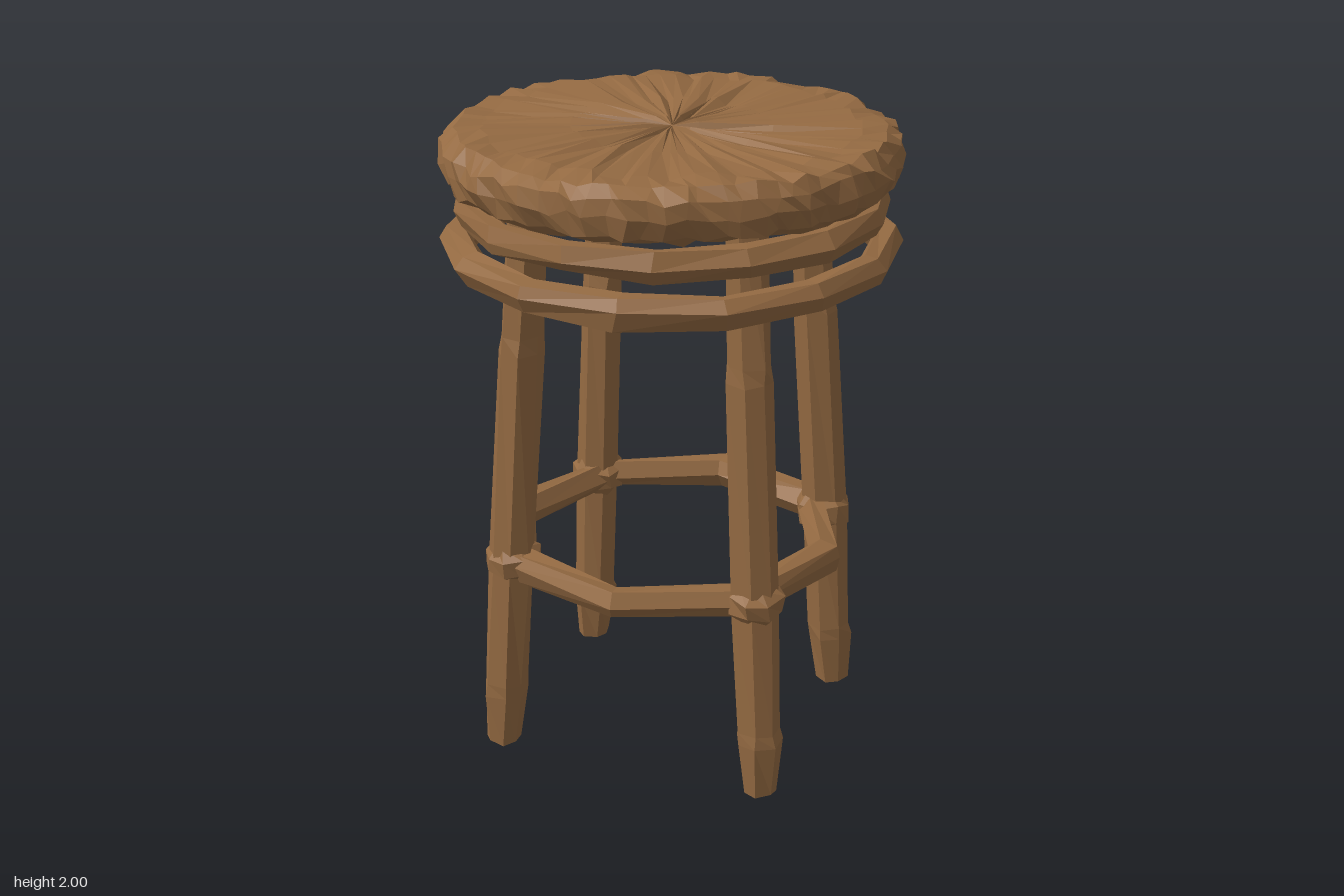
import * as THREE from 'three';

const wood = new THREE.MeshStandardMaterial({ color: 0x946a42, flatShading: true });
wood.name = 'brown wood';

// Repeatable noise in -1..1 from a position, so coincident corners stay joined
function noise(x, y, z, seed) {
  const q = (v) => Math.round(v * 500);
  const s = Math.sin(q(x) * 12.9898 + q(y) * 78.233 + q(z) * 37.719 + seed * 4.137) * 43758.5453;
  return (s - Math.floor(s)) * 2 - 1;
}

// Moves every vertex by a rule taking and returning [x, y, z]
function reshape(geometry, rule) {
  const p = geometry.attributes.position;
  for (let i = 0; i < p.count; i++) p.setXYZ(i, ...rule(p.getX(i), p.getY(i), p.getZ(i)));
  geometry.computeVertexNormals();
  return geometry;
}

const roughen = (geometry, amount, seed) => reshape(geometry, (x, y, z) => [
  x + amount * noise(x, y, z, seed),
  y + amount * noise(x, y, z, seed + 1),
  z + amount * noise(x, y, z, seed + 2),
]);

function addMesh(parent, name, geometry) {
  const mesh = new THREE.Mesh(geometry, wood);
  mesh.name = name;
  parent.add(mesh);
  return mesh;
}

const lathe = (profile, sides) =>
  new THREE.LatheGeometry(profile.map(([r, y]) => new THREE.Vector2(r, y)), sides);

// Round cushion of split wood: radial ridges on top and a knobbly rim
function seatGeometry() {
  const geometry = lathe([
    [0, 1.835], [0.5, 1.835], [0.62, 1.818], [0.668, 1.845], [0.685, 1.9],
    [0.678, 1.95], [0.64, 1.982], [0.56, 1.988], [0.3, 1.984], [0.08, 1.98], [0, 1.98],
  ], 80);
  return reshape(geometry, (x, y, z) => {
    const r = Math.hypot(x, z);
    if (r < 0.001) return [x, y, z];
    const rim = r > 0.55 ? 1 : 0;
    const k = 1 + 0.018 * rim * noise(x, y, z, 5);
    const dy = y > 1.97 ? 0.012 * noise(x, y, z, 3) : 0.012 * rim * noise(x, y, z, 8);
    const swirl = (rim ? 0.03 : 0.02) * noise(x, y, z, 11);
    return [(x - z * swirl) * k, y + dy, (z + x * swirl) * k];
  });
}

// Roughly hewn hoop
function hoopGeometry(radius, y, halfWidth, halfHeight, sides, seed) {
  const geometry = new THREE.TorusGeometry(radius, halfWidth, 6, sides);
  geometry.rotateX(Math.PI / 2).scale(1, halfHeight / halfWidth, 1).translate(0, y, 0);
  return roughen(geometry, 0.01, seed);
}

// Seven-sided leg with a chipped foot, leaning inwards and a little sideways
function legGeometry(sideways, seed) {
  const geometry = lathe([
    [0, 0.01], [0.052, 0.01], [0.072, 0.18], [0.069, 0.22], [0.073, 0.62],
    [0.071, 1.34], [0.066, 1.39], [0.062, 1.84], [0, 1.84],
  ], 7);
  roughen(geometry, 0.006, seed);
  return reshape(geometry, (x, y, z) => [
    x + 0.575 - 0.066 * y, y, z + sideways * (1 - 0.35 * y),
  ]);
}

export function createModel() {
  const stool = new THREE.Group();
  stool.name = 'stool';

  addMesh(stool, 'seat', seatGeometry());
  addMesh(stool, 'upperHoop', hoopGeometry(0.613, 1.755, 0.046, 0.05, 15, 21));
  addMesh(stool, 'lowerHoop', hoopGeometry(0.645, 1.625, 0.05, 0.052, 14, 31));

  // Four legs, each with a bound knot where the footrest meets it
  for (let i = 0; i < 4; i++) {
    const corner = new THREE.Group();
    corner.name = 'legAssembly';
    corner.rotation.y = i * Math.PI / 2;
    stool.add(corner);
    const sideways = i % 2 ? -0.03 : 0.055;
    addMesh(corner, 'leg', legGeometry(sideways, 40 + i * 7));

    const knot = lathe([[0.06, 0.595], [0.086, 0.615], [0.09, 0.67], [0.06, 0.7]], 8);
    roughen(knot, 0.009, 70 + i * 5).translate(0.528, 0, sideways * 0.78);
    addMesh(corner, 'footrestKnot', knot);
  }

  // Footrest: crooked eight-sided ring, joined at the legs and bent between them
  addMesh(stool, 'footrest', hoopGeometry(0.515, 0.645, 0.053, 0.052, 8, 91));

  return stool;
}
